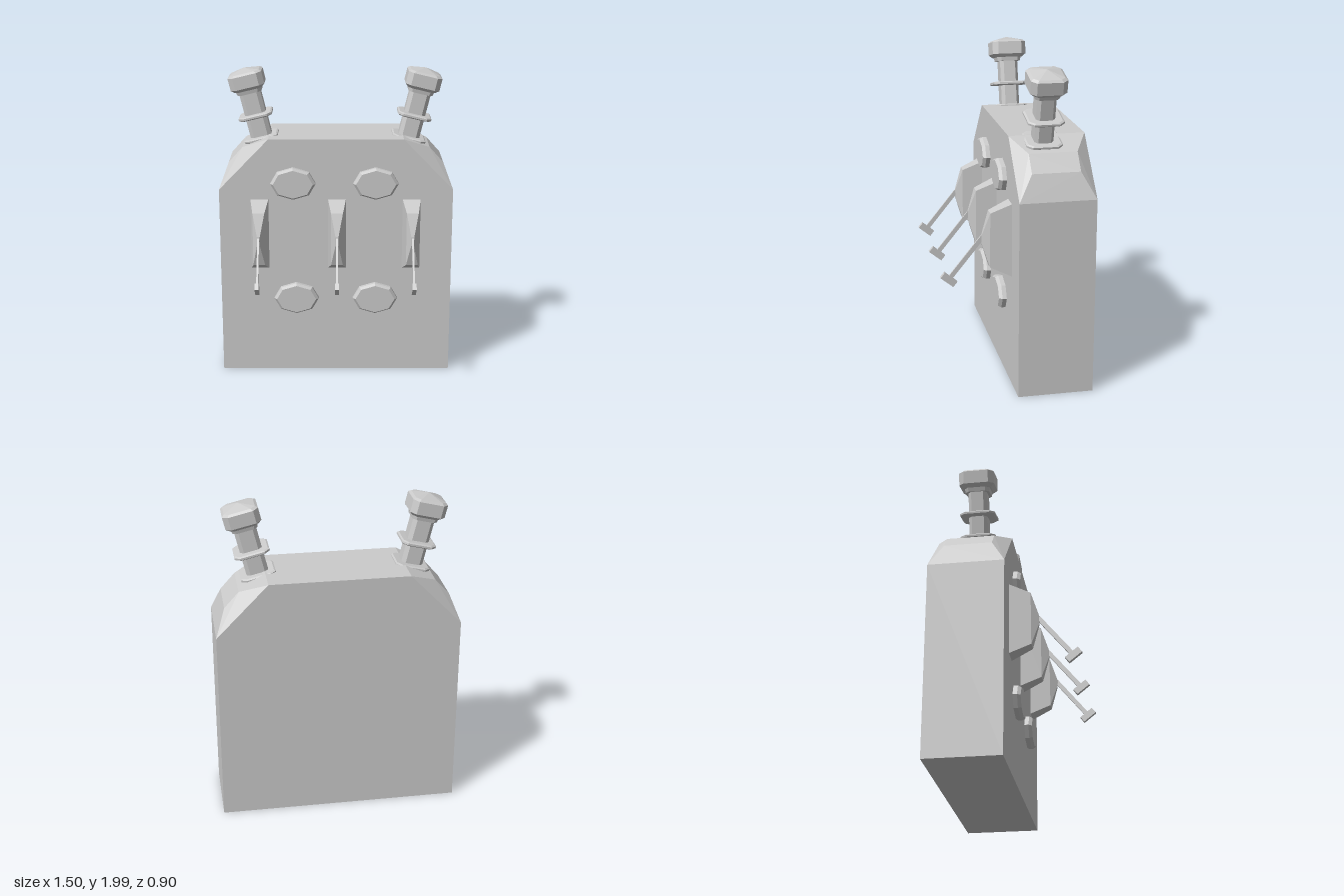
import * as THREE from 'three';
import { ConvexGeometry } from 'three/addons/geometries/ConvexGeometry.js';

const material = new THREE.MeshStandardMaterial({ color: 0xcccccc, flatShading: true });
const vec = (x, y, z) => new THREE.Vector3(x, y, z);

function add(parent, name, geometry, x = 0, y = 0, z = 0) {
  const mesh = new THREE.Mesh(geometry, material);
  mesh.name = name;
  mesh.position.set(x, y, z);
  parent.add(mesh);
  return mesh;
}

// Stacks square sections with cut corners; each section is [y, half width x, half width z].
function loftSquares(sections, cut = 0.7) {
  const corners = [[1, -cut], [1, cut], [cut, 1], [-cut, 1], [-1, cut], [-1, -cut], [-cut, -1], [cut, -1]];
  const n = corners.length;
  const positions = [];
  const index = [];
  sections.forEach(([y, hx, hz], s) => {
    corners.forEach(([cx, cz], i) => {
      positions.push(cx * hx, y, cz * hz);
      if (s === 0) return;
      const j = (i + 1) % n;
      const low = (s - 1) * n;
      const high = s * n;
      index.push(low + i, high + i, high + j, low + i, high + j, low + j);
    });
  });
  const indexed = new THREE.BufferGeometry();
  indexed.setAttribute('position', new THREE.Float32BufferAttribute(positions, 3));
  indexed.setIndex(index);
  const geometry = indexed.toNonIndexed();
  geometry.computeVertexNormals();
  return geometry;
}

// Cabinet with bulging, bevelled upper corners
function bodyGeometry() {
  const points = [];
  const front = 0.018, back = -0.453, inset = 0.087;
  for (const s of [-1, 1]) {
    for (const z of [front, back]) {
      points.push(vec(s * 0.75, 0, z), vec(s * 0.75, 1.24, z), vec(s * 0.43, 1.57, z));
    }
    for (const z of [front - inset, back + inset]) {
      points.push(vec(s * 0.69, 1.4, z), vec(s * 0.6, 1.5, z));
    }
  }
  return new ConvexGeometry(points);
}

// Lever housing: tapered block with a roof rising to a short ridge
function housingGeometry() {
  const points = [];
  for (const s of [-1, 1]) {
    points.push(
      vec(s * 0.059, 1.18, 0.01), vec(s * 0.059, 0.71, 0.01),
      vec(s * 0.038, 1.12, 0.147), vec(s * 0.038, 0.775, 0.15),
      vec(s * 0.009, 0.975, 0.195), vec(s * 0.009, 0.92, 0.195));
  }
  return new ConvexGeometry(points);
}

// Tilted insulator post with flanges and a capped head
function buildPost(name, x, tilt) {
  const post = new THREE.Group();
  post.name = name;
  post.position.set(x, 1.545, -0.18);
  post.rotation.z = tilt;
  add(post, 'postShaft', loftSquares([[-0.03, 0, 0], [-0.03, 0.068, 0.059], [0.34, 0.068, 0.059], [0.34, 0, 0]], 0.65));
  for (const [flange, y] of [['baseFlange', 0], ['middleFlange', 0.15]]) {
    add(post, flange, loftSquares([
      [-0.012, 0, 0], [-0.012, 0.1, 0.1], [-0.005, 0.109, 0.111],
      [0.007, 0.109, 0.111], [0.013, 0.1, 0.1], [0.013, 0, 0]]), 0, y, 0);
  }
  add(post, 'collar', loftSquares([[0.3, 0, 0], [0.3, 0.078, 0.075], [0.335, 0.085, 0.082], [0.335, 0, 0]]));
  add(post, 'head', loftSquares([
    [0.325, 0, 0], [0.325, 0.09, 0.088], [0.345, 0.11, 0.111],
    [0.425, 0.11, 0.111], [0.437, 0.095, 0.095], [0.462, 0, 0]]));
  return post;
}

export function createModel() {
  const model = new THREE.Group();
  model.name = 'controlCabinet';
  add(model, 'cabinetBody', bodyGeometry());

  // Gauges: bevelled eight-sided discs
  const gauge = new THREE.LatheGeometry(
    [[0, 0.055], [0.88, 0.055], [1, 0.035], [1, 0]].reverse().map(([r, y]) => new THREE.Vector2(r, y)), 8);
  gauge.rotateX(Math.PI / 2);
  gauge.scale(0.145, 0.104, 1);
  for (const [x, y] of [[-0.275, 1.285], [0.255, 1.285], [-0.258, 0.51], [0.255, 0.51]]) {
    add(model, 'gauge', gauge, x, y, 0.01);
  }

  // Levers with their housings
  const housing = housingGeometry();
  const rod = new THREE.BoxGeometry(0.012, 0.33, 0.028);
  const grip = new THREE.BoxGeometry(0.026, 0.042, 0.1);
  for (const x of [-0.492, 0.006, 0.486]) {
    add(model, 'leverHousing', housing, x);
    const lever = new THREE.Group();
    lever.name = 'lever';
    lever.position.set(x, 0.955, 0.195);
    lever.rotation.x = -0.68;
    add(lever, 'leverRod', rod, 0, -0.155, 0);
    add(lever, 'leverGrip', grip, 0, -0.325, 0);
    model.add(lever);
  }

  model.add(buildPost('leftPost', 0.468, -0.237), buildPost('rightPost', -0.48, 0.237));
  return model;
}
